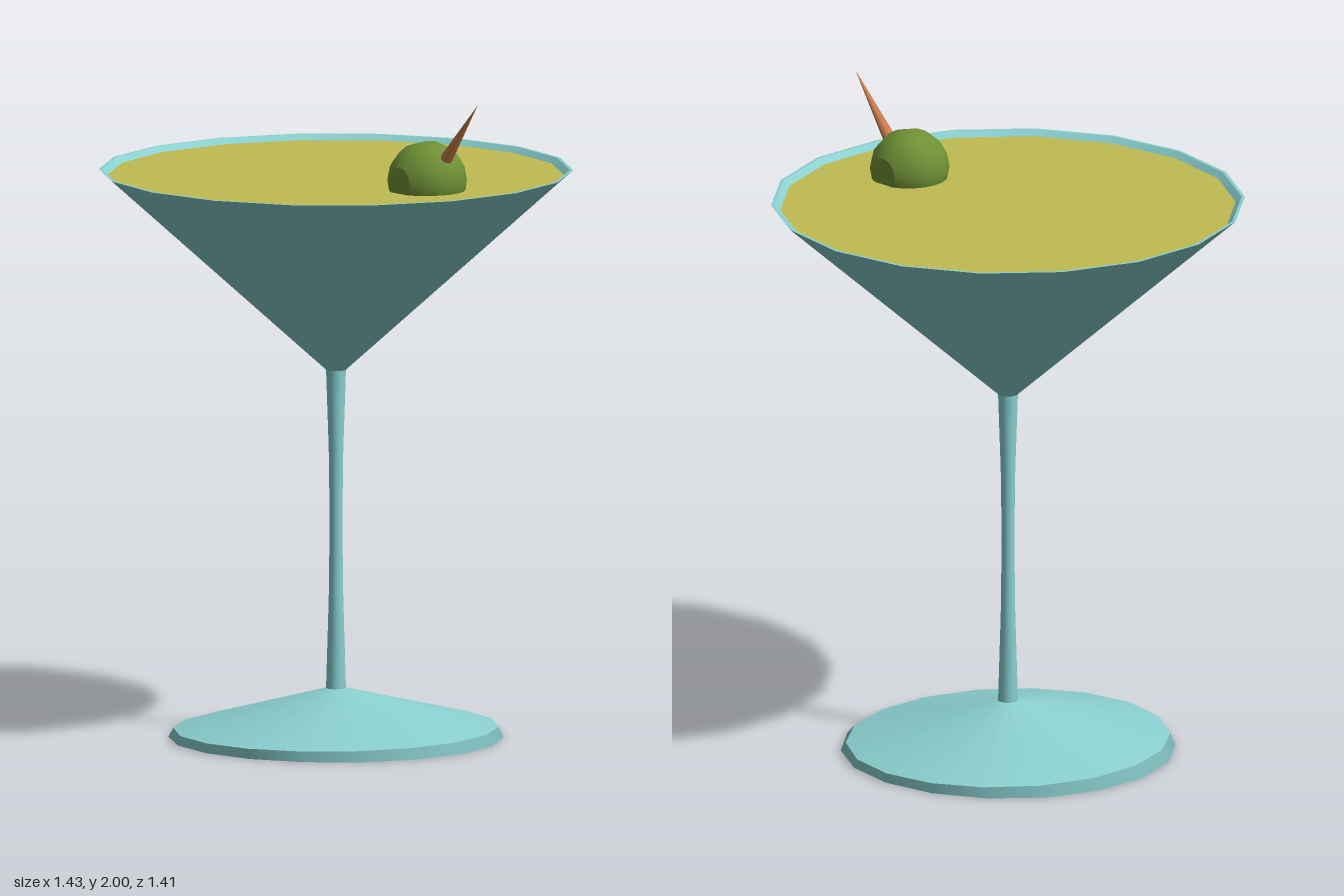
import * as THREE from 'three';

const SIDES = 18;
const glass = new THREE.MeshStandardMaterial({ name: 'teal glass', color: 0x8acfcf });
const drink = new THREE.MeshStandardMaterial({ name: 'yellow drink', color: 0xc0bb52 });
const green = new THREE.MeshStandardMaterial({ name: 'olive green', color: 0x6f9136 });
const wood = new THREE.MeshStandardMaterial({ name: 'orange wood', color: 0xc97c4c });

// Surface of revolution from [radius, y] pairs, with corners on the x axis
function turned(name, profile, material, sides = SIDES) {
  const points = profile.map(([r, y]) => new THREE.Vector2(r, y));
  const geometry = new THREE.LatheGeometry(points, sides, Math.PI / 2);
  const mesh = new THREE.Mesh(geometry, material);
  mesh.name = name;
  return mesh;
}

export function createModel() {
  const model = new THREE.Group();
  model.name = 'cocktailGlass';

  // Foot: thin edge and shallow cone, with the upper ring pulled in along z
  const edge = turned('footEdge', [[0.505, 0], [0.505, 0.03]], glass);
  const foot = turned('footTop', [[0.505, 0.03], [0.03, 0.15]], glass);
  for (const { geometry } of [edge, foot]) {
    const p = geometry.attributes.position;
    for (let i = 0; i < p.count; i++) {
      if (Math.abs(p.getY(i) - 0.03) < 1e-4) p.setZ(i, p.getZ(i) * 0.93);
    }
    geometry.computeBoundingSphere();
  }
  model.add(edge, foot, turned('footUnderside', [[0, 0], [0.505, 0]], glass));

  // Stem, slimmest in the middle
  model.add(turned('stem', [[0.03, 0.15], [0.022, 0.42], [0.019, 0.66], [0.022, 0.88], [0.03, 1.12]], glass));

  // Bowl: outer cone, rim and the inner wall above the drink
  model.add(
    turned('bowl', [[0.03, 1.12], [0.715, 1.73]], glass),
    turned('rim', [[0.715, 1.73], [0.705, 1.73]], glass),
    turned('bowlInside', [[0.705, 1.73], [0.685, 1.712]], glass),
    turned('drink', [[0.688, 1.714], [0, 1.714]], drink),
  );

  // Olive: sphere with both ends cut flat, lying along x
  const r = 0.12, cut = 0.43;
  const arc = [];
  for (let i = 0; i <= 8; i++) {
    const a = cut + (Math.PI - 2 * cut) * i / 8;
    arc.push([r * Math.sin(a), -r * Math.cos(a)]);
  }
  const end = arc[0];
  const olive = new THREE.Group();
  olive.name = 'olive';
  olive.add(
    turned('oliveBody', arc, green, 12),
    turned('oliveEndRight', [[0, end[1]], end], green, 12),
    turned('oliveEndLeft', [arc[8], [0, -end[1]]], green, 12),
  );
  olive.rotation.z = -Math.PI / 2;
  olive.position.set(0.02, 1.745, 0.41);
  model.add(olive);

  // Pick: slim cone from inside the olive to its tip
  const from = new THREE.Vector3(0.024, 1.745, 0.435);
  const tip = new THREE.Vector3(0.024, 2, 0.645);
  const axis = tip.clone().sub(from);
  const pick = new THREE.Mesh(new THREE.ConeGeometry(0.027, axis.length(), 8), wood);
  pick.name = 'pick';
  pick.position.copy(from).add(tip).multiplyScalar(0.5);
  pick.quaternion.setFromUnitVectors(new THREE.Vector3(0, 1, 0), axis.normalize());
  model.add(pick);

  return model;
}
